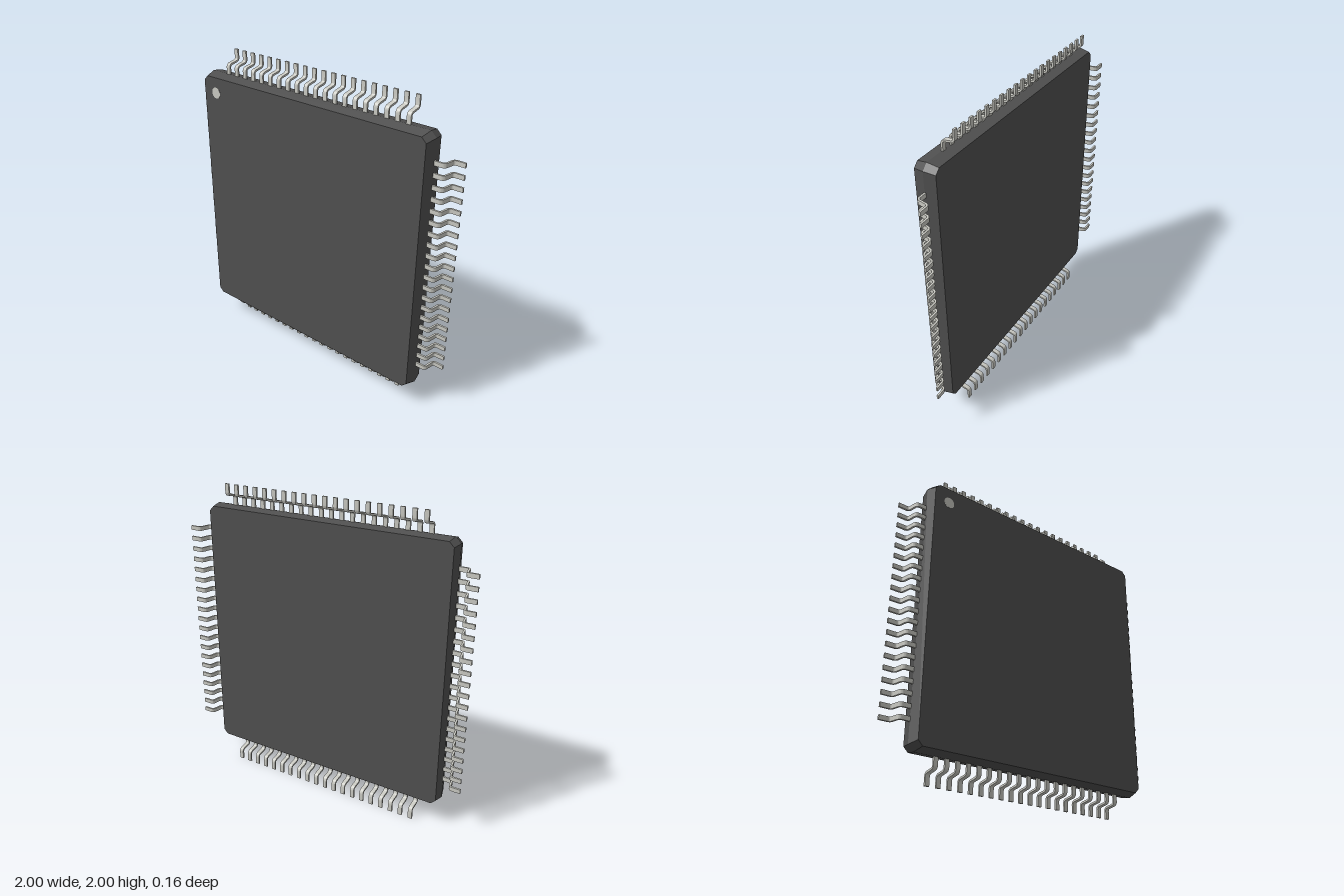
import * as THREE from 'three';
import { toCreasedNormals } from 'three/addons/utils/BufferGeometryUtils.js';

const bodyMaterial = new THREE.MeshStandardMaterial({ color: 0x505050 });
const leadMaterial = new THREE.MeshStandardMaterial({ color: 0xc9c9c2 });

// Square outline with cut corners, counter-clockwise
function outline(half, cut, z) {
  const points = [];
  for (let k = 0; k < 4; k++) {
    for (const t of [-(half - cut), half - cut]) {
      const p = new THREE.Vector3(half, t, z);
      points.push(p.applyAxisAngle(new THREE.Vector3(0, 0, 1), k * Math.PI / 2));
    }
  }
  return points;
}

// Package body: three outlines from back to front, capped at both ends
function bodyGeometry() {
  const loops = [outline(0.842, 0.03, -0.064), outline(0.855, 0.035, 0.006), outline(0.836, 0.03, 0.076)];
  const triangles = [];
  const n = loops[0].length;
  for (let j = 0; j < 2; j++) {
    for (let i = 0; i < n; i++) {
      const a = loops[j][i], b = loops[j][(i + 1) % n];
      const c = loops[j + 1][(i + 1) % n], d = loops[j + 1][i];
      triangles.push(a, b, c, a, c, d);
    }
  }
  for (let i = 1; i < n - 1; i++) {
    triangles.push(loops[0][0], loops[0][i + 1], loops[0][i]);
    triangles.push(loops[2][0], loops[2][i], loops[2][i + 1]);
  }
  const geometry = new THREE.BufferGeometry().setFromPoints(triangles);
  geometry.computeVertexNormals();
  return geometry;
}

// Gull-wing lead: a thin strip with two rounded bends, pointing along +x
function leadGeometry(width, thickness) {
  const corners = [[0.83, 0.004], [0.916, 0.004], [0.929, -0.072], [1, -0.072]]
    .map(([x, y]) => new THREE.Vector2(x, y));
  const path = [corners[0]];
  for (const i of [1, 2]) {
    const toward = (other) => corners[i].clone().add(other.clone().sub(corners[i]).setLength(0.018));
    const bend = new THREE.QuadraticBezierCurve(toward(corners[i - 1]), corners[i], toward(corners[i + 1]));
    path.push(...bend.getPoints(5));
  }
  path.push(corners[3]);
  // Offset the centre line to both sides
  const upper = [], lower = [];
  path.forEach((p, i) => {
    const before = path[Math.max(i - 1, 0)], after = path[Math.min(i + 1, path.length - 1)];
    const along = after.clone().sub(before).normalize();
    const offset = new THREE.Vector2(-along.y, along.x).multiplyScalar(thickness / 2);
    upper.push(p.clone().add(offset));
    lower.push(p.clone().sub(offset));
  });
  const shape = new THREE.Shape([...lower, ...upper.reverse()]);
  const geometry = new THREE.ExtrudeGeometry(shape, { depth: width, bevelEnabled: false });
  geometry.translate(0, 0, -width / 2).rotateX(Math.PI / 2);
  return toCreasedNormals(geometry, 0.6);
}

export function createModel() {
  const model = new THREE.Group();
  model.name = 'chipPackage';

  const body = new THREE.Mesh(bodyGeometry(), bodyMaterial);
  body.name = 'body';
  body.position.y = 1;
  model.add(body);

  // Round marker for the first pin
  const marker = new THREE.Mesh(new THREE.CylinderGeometry(0.036, 0.036, 0.004, 32), leadMaterial);
  marker.name = 'pinOneMarker';
  marker.rotation.x = Math.PI / 2;
  marker.position.set(-0.735, 1.735, 0.0755);
  model.add(marker);

  // Twenty leads on each of the four sides
  const lead = leadGeometry(0.028, 0.012);
  const count = 20, span = 1.36;
  ['leftLeads', 'topLeads', 'rightLeads', 'bottomLeads'].forEach((name, k) => {
    const row = new THREE.Group();
    row.name = name;
    row.position.y = 1;
    row.rotation.z = k * Math.PI / 2;
    for (let i = 0; i < count; i++) {
      const mesh = new THREE.Mesh(lead, leadMaterial);
      mesh.name = 'lead';
      mesh.position.y = -span / 2 + span * i / (count - 1);
      row.add(mesh);
    }
    model.add(row);
  });

  return model;
}
